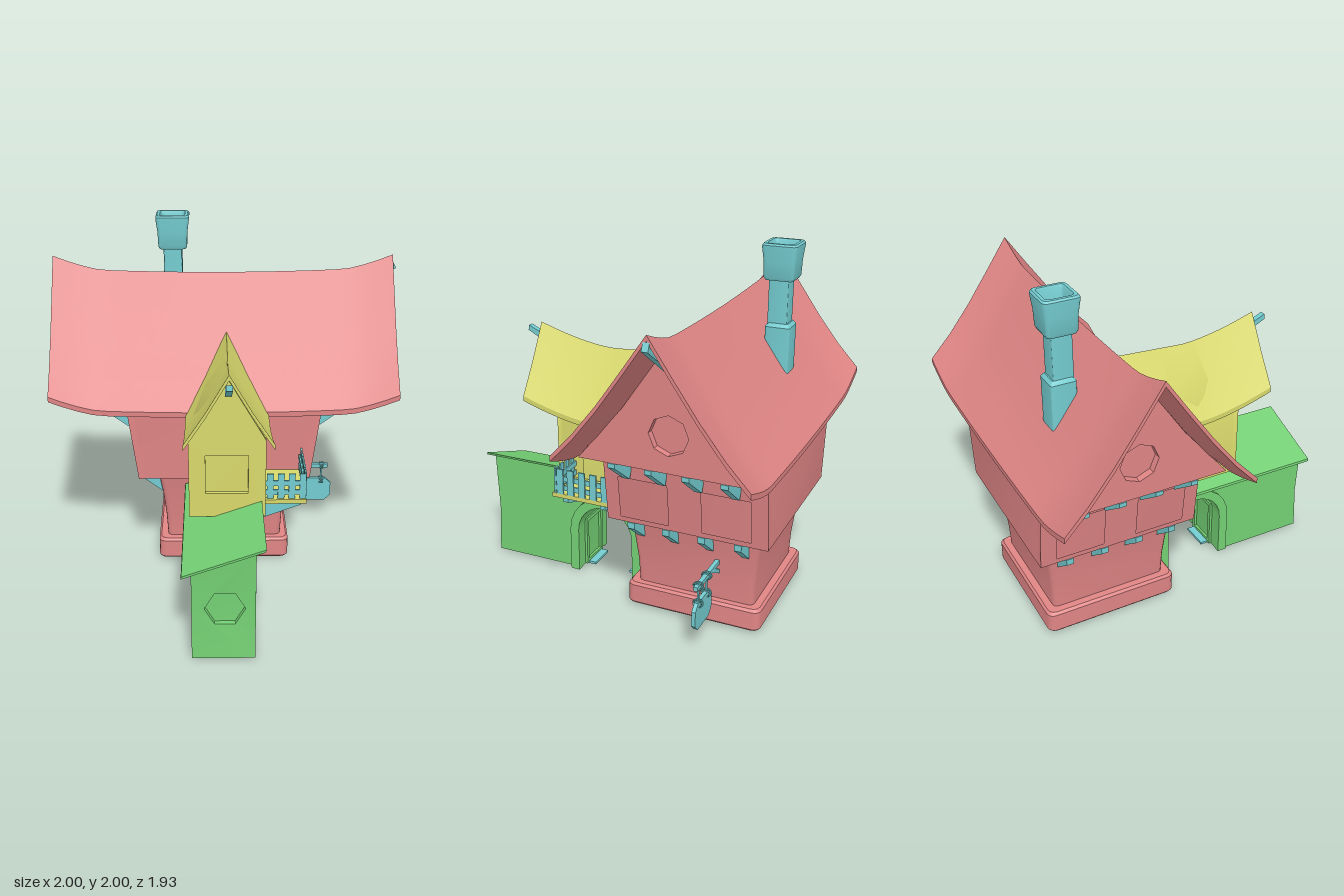
import * as THREE from 'three';
import { toCreasedNormals } from 'three/addons/utils/BufferGeometryUtils.js';

const mat = (color) => new THREE.MeshStandardMaterial({ color });
const PINK = mat(0xe08585), YELLOW = mat(0xd8d86c), GREEN = mat(0x74d074), TEAL = mat(0x74ccd0);
const CX = -0.0125, CZ = -0.45; // centre of the main house

export function createModel() {
  const root = new THREE.Group();

  const add = (name, geo, material) => {
    const mesh = new THREE.Mesh(toCreasedNormals(geo, 0.55), material);
    mesh.name = name;
    root.add(mesh);
    return mesh;
  };
  const poly = (pts, ...holes) => {
    const v = (list) => list.map(([a, b]) => new THREE.Vector2(a, b));
    const s = new THREE.Shape(v(pts));
    holes.forEach((h) => s.holes.push(new THREE.Path(v(h))));
    return s;
  };
  const rect = (a0, a1, b0, b1) => [[a0, b0], [a1, b0], [a1, b1], [a0, b1]];
  const ngon = (n, cx, cy, r, turn = 0) => Array.from({ length: n }, (_, i) => {
    const a = turn + (i / n) * Math.PI * 2;
    return [cx + r * Math.cos(a), cy + r * Math.sin(a)];
  });
  // extrude an (x, y) shape along z
  const alongZ = (shape, z0, z1, steps = 1) =>
    new THREE.ExtrudeGeometry(shape, { depth: z1 - z0, steps, bevelEnabled: false }).translate(0, 0, z0);
  // extrude a (z, y) outline with holes along x
  const alongX = (pts, x0, x1, steps = 1, holes = []) => {
    const flip = (list) => list.map(([z, y]) => [-z, y]);
    return new THREE.ExtrudeGeometry(poly(flip(pts), ...holes.map(flip)), { depth: x1 - x0, steps, bevelEnabled: false })
      .rotateY(Math.PI / 2).translate(x0, 0, 0);
  };
  const box = (x0, x1, y0, y1, z0, z1) =>
    new THREE.BoxGeometry(x1 - x0, y1 - y0, z1 - z0).translate((x0 + x1) / 2, (y0 + y1) / 2, (z0 + z1) / 2);
  // move every vertex by a rule
  const warp = (geo, rule) => {
    const p = geo.attributes.position, v = new THREE.Vector3();
    for (let i = 0; i < p.count; i++) {
      rule(v.fromBufferAttribute(p, i));
      p.setXYZ(i, v.x, v.y, v.z);
    }
    return geo;
  };
  // stack of rounded rectangles, each [y, half x, half z, corner radius]
  const loft = (cx, cz, rings) => {
    const pos = [], idx = [], n = 16;
    for (const [y, hx, hz, r] of rings) {
      for (let j = 0; j < n; j++) {
        const q = Math.floor(j / 4), a = (q + (j % 4) / 3) * Math.PI / 2;
        const sx = q === 0 || q === 3 ? 1 : -1, sz = q < 2 ? 1 : -1;
        pos.push(cx + sx * (hx - r) + r * Math.cos(a), y, cz + sz * (hz - r) + r * Math.sin(a));
      }
    }
    const last = (rings.length - 1) * n, c0 = rings.length * n;
    pos.push(cx, rings[0][0], cz, cx, rings[rings.length - 1][0], cz);
    for (let j = 0; j < n; j++) {
      const k = (j + 1) % n;
      for (let i = 0; i < last; i += n) idx.push(i + j, i + n + j, i + k, i + k, i + n + j, i + n + k);
      idx.push(c0, j, k, c0 + 1, last + k, last + j);
    }
    const g = new THREE.BufferGeometry();
    g.setAttribute('position', new THREE.Float32BufferAttribute(pos, 3));
    g.setIndex(idx);
    return g;
  };
  // gabled roof section from [offset, y] points running ridge to eave
  const chevron = (c, half, t) => {
    const top = [...half.slice(1).reverse().map(([d, y]) => [c - d, y]), ...half.map(([d, y]) => [c + d, y])];
    return [...top, ...top.map(([a, y]) => [a, y - t]).reverse()];
  };

  // --- main house: plinth, ground floor, jettied upper floor
  add('plinth', loft(CX - 0.003, CZ, [[0.01, 0.385, 0.385, 0.04], [0.02, 0.392, 0.392, 0.04], [0.125, 0.392, 0.392, 0.04], [0.14, 0.38, 0.38, 0.04]]), PINK);
  add('groundFloor', loft(CX, CZ, [[0.13, 0.342, 0.34, 0.03], [0.28, 0.35, 0.347, 0.03], [0.44, 0.367, 0.364, 0.03], [0.59, 0.392, 0.388, 0.03]]), PINK);
  add('upperFloor', loft(CX, CZ - 0.005, [[0.58, 0.47, 0.455, 0.004], [1.03, 0.53, 0.455, 0.004]]), PINK);
  const windows = [rect(-0.36, -0.08, 0.61, 0.855), rect(-0.82, -0.55, 0.61, 0.855)];
  for (const s of [1, -1]) {
    const wall = alongX(rect(-0.91, 0, 0.58, 1.03), s > 0 ? 0 : -0.035, s > 0 ? 0.035 : 0, 1, windows);
    add('windowWall', warp(wall, (v) => { v.x += CX + s * (0.465 + (v.y - 0.58) * 0.133); }), PINK);
  }

  // --- attic with an octagonal recess in each gable
  const attic = [[CZ, 1.69], [CZ + 0.25, 1.325], [CZ + 0.5, 1.02], [CZ - 0.5, 1.02], [CZ - 0.25, 1.325]];
  add('attic', alongX(attic, CX - 0.69, CX + 0.69), PINK);
  for (const s of [1, -1]) {
    const x = CX + s * 0.71;
    add('gableWall', alongX(attic, x - 0.02, x + 0.02, 1, [ngon(8, CZ, 1.22, 0.107)]), PINK);
  }

  // --- main roof, upswept at both ends
  const mainLift = (x) => {
    const u = Math.abs(x - CX);
    return 0.03 * u * u + 0.071 * Math.max(0, (u - 0.7) / 0.2875) ** 1.4;
  };
  const mainHalf = [[0, 1.70], [0.13, 1.51], [0.26, 1.325], [0.39, 1.16], [0.515, 1.025]];
  add('mainRoof', warp(alongX(chevron(CZ, mainHalf, 0.03), -1, 0.975, 24), (v) => { v.y += mainLift(v.x); }), PINK);
  add('ridgeStrut', alongZ(poly([[0.7, 1.53], [0.7, 1.58], [0.975, 1.765], [0.995, 1.725]]), CZ - 0.017, CZ + 0.017), TEAL);

  // --- corbel brackets under both overhangs
  const lower = [[0.33, 0.58], [0.505, 0.58], [0.505, 0.545], [0.365, 0.435]];
  const upper = [[0.5, 1.02], [0.735, 1.02], [0.735, 0.995], [0.56, 0.865]];
  for (const s of [1, -1]) for (const z of [-0.14, -0.342, -0.545, -0.747]) for (const pts of [lower, upper])
    add('bracket', alongZ(poly(pts.map(([x, y]) => [CX + s * x, y])), z - 0.02, z + 0.02), TEAL);

  // --- chimney with a flared, hollow pot
  add('chimneyBase', loft(-0.31, -0.675, [[1.2, 0.07, 0.07, 0.012], [1.54, 0.07, 0.07, 0.012], [1.56, 0.055, 0.055, 0.01]]), TEAL);
  add('chimneyShaft', loft(-0.31, -0.668, [[1.4, 0.055, 0.055, 0.006], [1.81, 0.055, 0.055, 0.006]]), TEAL);
  add('chimneyPot', loft(-0.31, -0.672, [
    [1.8, 0.078, 0.078, 0.02], [1.815, 0.085, 0.085, 0.02], [1.9, 0.088, 0.088, 0.02], [1.975, 0.098, 0.098, 0.025],
    [1.99, 0.098, 0.098, 0.025], [2.0, 0.09, 0.09, 0.025], [2.0, 0.074, 0.074, 0.02], [1.985, 0.068, 0.068, 0.02], [1.9, 0.058, 0.058, 0.015],
  ]), TEAL);

  // --- front bay: core, window front and balcony doorway
  const bay = [[-0.21, 0.58], [0.185, 0.58], [0.185, 1.05], [0, 1.38], [-0.21, 1.03]];
  add('bayCore', alongZ(poly(bay), -0.15, 0.435), YELLOW);
  const front = [[-0.21, 0.58], [0.205, 0.58], [0.205, 1.03], [0, 1.38], [-0.21, 1.03]];
  add('bayFront', alongZ(poly(front, rect(-0.12, 0.11, 0.72, 0.945)), 0.435, 0.46), YELLOW);
  const doorway = [[0.125, 0.63], [0.295, 0.63], [0.305, 0.935], [0.118, 0.945]];
  add('baySide', alongX(rect(-0.1, 0.436, 0.58, 1.03), 0.185, 0.205, 1, [doorway]), YELLOW);
  const bayHalf = [[0, 1.38], [0.12, 1.175], [0.235, 1.0]];
  const bayRoof = alongZ(poly(chevron(0.003, bayHalf, 0.03)), -0.25, 0.66, 16);
  add('bayRoof', warp(bayRoof, (v) => {
    const d = v.z - 0.2;
    v.y += d > 0 ? 0.1 * (d / 0.46) ** 1.6 : 0.022 * Math.min(1, -d / 0.4);
  }), YELLOW);
  add('bayStrut', alongX([[0.44, 1.275], [0.44, 1.32], [0.735, 1.455], [0.74, 1.425]], -0.014, 0.02), TEAL);

  // --- balcony with picket railings and supports
  add('balconyFloor', box(0.2, 0.435, 0.61, 0.635, -0.05, 0.375), YELLOW);
  for (const y of [0.67, 0.725]) {
    add('frontRail', box(0.205, 0.435, y - 0.015, y + 0.015, 0.345, 0.355), TEAL);
    add('sideRail', box(0.418, 0.428, y - 0.015, y + 0.015, 0.02, 0.355), TEAL);
  }
  for (const x of [0.235, 0.295, 0.355, 0.415]) add('picket', box(x - 0.018, x + 0.018, 0.635, 0.785, 0.352, 0.362), TEAL);
  for (const z of [0.05, 0.12, 0.19, 0.26, 0.325]) add('picket', box(0.426, 0.436, 0.635, 0.785, z - 0.02, z + 0.02), TEAL);
  for (const z of [0.075, 0.305])
    add('balconyBracket', alongZ(poly([[0.12, 0.47], [0.16, 0.48], [0.41, 0.575], [0.41, 0.61], [0.12, 0.61]]), z - 0.015, z + 0.015), TEAL);

  // --- porch room pierced by an arched passage
  const arc = (r, from, to) => Array.from({ length: 13 }, (_, i) => {
    const a = from + ((to - from) * i) / 12;
    return [0.19 + r * Math.cos(a), 0.27 + r * Math.sin(a)];
  });
  const inner = [[0.015, 0.005], ...arc(0.175, Math.PI, 0), [0.365, 0.005]];
  const slope = (v) => { if (v.y > 0.58) v.y = 0.525 + (v.x + 0.2) * 0.37; };
  const bow = (v) => { slope(v); v.z -= 0.015 * Math.sin(Math.PI * Math.min(1, v.y / 0.55)); };
  add('porchBody', warp(alongX([[0.91, 0.005], [0.897, 0.2], [0.895, 0.35], [0.905, 0.62], [-0.12, 0.62], [-0.12, 0.005], ...inner], -0.195, 0.137), slope), GREEN);
  const porchFace = poly([[-0.195, 0.005], [0.137, 0.005], [0.137, 0.28], [0.137, 0.62], [-0.195, 0.62], [-0.195, 0.28]], ngon(6, -0.022, 0.3, 0.107));
  add('porchFront', warp(alongZ(porchFace, 0.905, 0.94), bow), GREEN);
  add('porchRoof', alongZ(poly([[-0.245, 0.505], [0.18, 0.658], [0.185, 0.673], [-0.242, 0.52]]), -0.05, 0.97), GREEN);

  // --- arch surrounds on both sides
  const ring = [[-0.04, 0], ...arc(0.23, Math.PI, 0), [0.42, 0], [0.365, 0], ...arc(0.175, 0, Math.PI), [0.015, 0]];
  add('archRight', alongX(ring, 0.12, 0.163), GREEN);
  add('archLeft', alongX(ring, -0.205, -0.165), GREEN);

  // --- facing doors inside the passage, each with a step
  const door = poly(rect(-0.12, 0.085, 0.005, 0.31), rect(-0.095, 0.06, 0.03, 0.285));
  add('innerDoor', alongZ(door, 0.01, 0.03), GREEN);
  add('innerDoor', alongZ(door, 0.35, 0.37), GREEN);
  add('doorStep', box(-0.1, 0.067, 0, 0.015, 0.02, 0.075), TEAL);
  add('doorStep', box(-0.1, 0.067, 0, 0.015, 0.305, 0.36), TEAL);

  // --- hanging sign board
  const SZ = -0.587;
  add('signArm', box(0.32, 0.665, 0.363, 0.387, SZ - 0.012, SZ + 0.012), TEAL);
  add('signBrace', alongZ(poly([[0.325, 0.295], [0.325, 0.32], [0.43, 0.375], [0.465, 0.37]]), SZ - 0.01, SZ + 0.01), TEAL);
  const board = [[0.455, 0.165], [0.49, 0.127], [0.65, 0.127], [0.688, 0.165], [0.688, 0.25], [0.65, 0.285], [0.49, 0.285], [0.455, 0.25]];
  add('signBoard', alongZ(poly(board), SZ - 0.011, SZ + 0.011), TEAL);
  for (const x of [0.508, 0.625]) {
    add('signRod', box(x - 0.005, x + 0.005, 0.27, 0.375, SZ - 0.005, SZ + 0.005), TEAL);
    for (const y of [0.272, 0.375]) for (const tilt of [0.6, -0.6]) {
      const loop = new THREE.TorusGeometry(0.027, 0.005, 5, 12).scale(1, 0.8, 1).rotateY(Math.PI / 2).rotateZ(tilt);
      add('signLoop', loop.translate(x, y, SZ), TEAL);
    }
  }
  return root;
}
